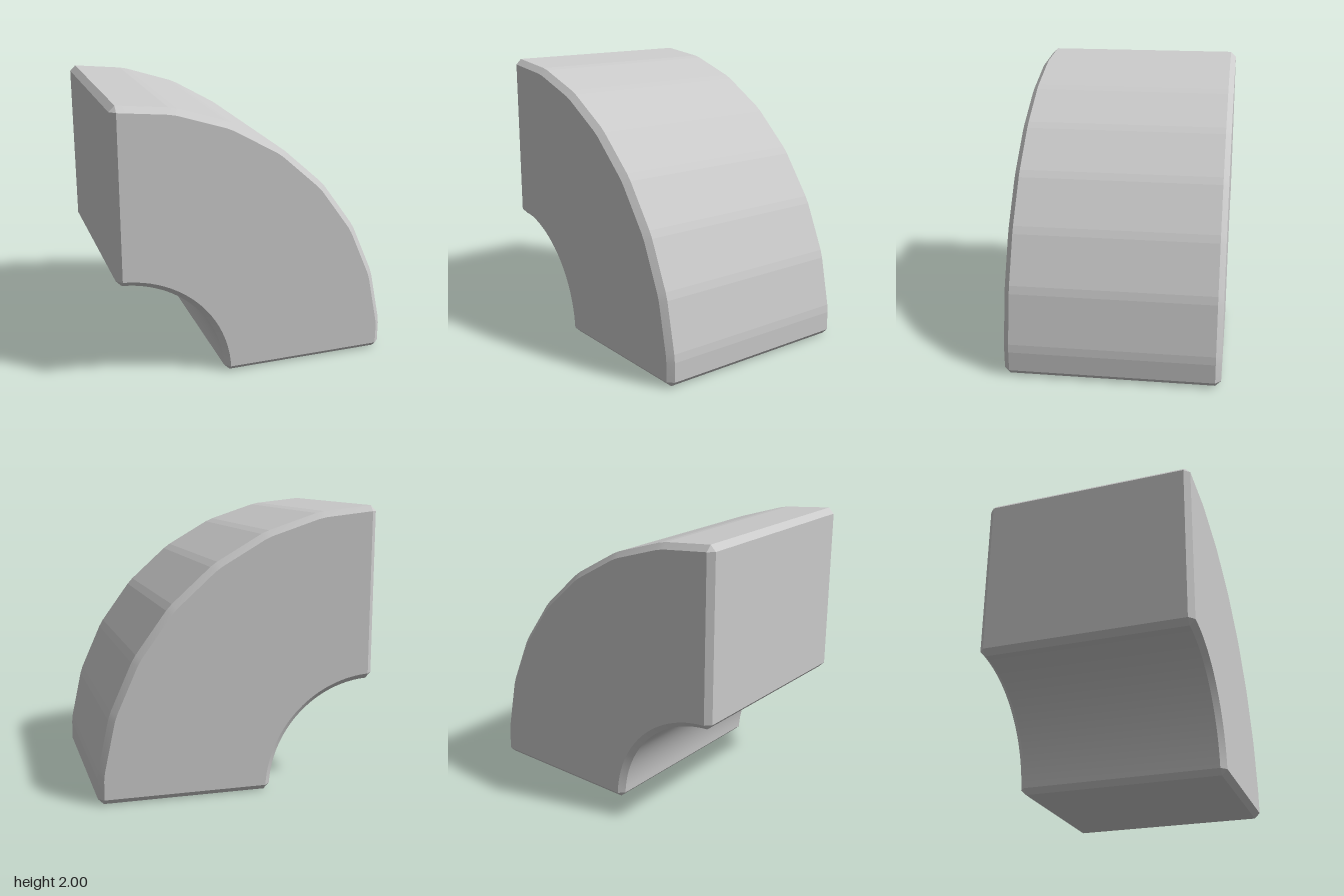
import * as THREE from 'three';
import { toCreasedNormals } from 'three/addons/utils/BufferGeometryUtils.js';

const BEVEL = 0.04, INNER = 0.766, OUTER = 2.004, HALF_DEPTH = 0.765;
const STEP = THREE.MathUtils.degToRad(12);
const polar = (r, a) => new THREE.Vector2(-1 + r * Math.cos(a), r * Math.sin(a));

// Counter-clockwise outline of the quarter arch. inset = 0 gives the full body,
// inset = BEVEL the flat face (its corner points coincide in pairs).
function outline(inset) {
  const pts = [];
  const add = (x, y) => pts.push(new THREE.Vector2(x, y));
  const inner = INNER + inset;
  const outer = OUTER - inset / Math.cos(STEP / 2);
  const right = -1 + OUTER * Math.cos(STEP / 2);

  // bottom end
  add(-1 + INNER + BEVEL, inset);
  add(right - BEVEL, inset);

  // faceted outer curve, each ridge slightly cut
  add(right - inset, BEVEL);
  for (let i = 0; i < 7; i++) {
    const a = STEP * (i + 0.5);
    const ridge = polar(outer, a);
    pts.push(ridge.clone().lerp(polar(outer, a - STEP), 0.07));
    pts.push(ridge.clone().lerp(polar(outer, a + STEP), 0.07));
  }
  add(-1 + BEVEL, OUTER - 0.004 - inset);

  // left end
  add(-1 + inset, OUTER - 0.004 - BEVEL);
  add(-1 + inset, INNER + BEVEL);

  // smooth inner curve
  const a0 = Math.acos(BEVEL / inner), a1 = Math.asin(BEVEL / inner), n = 24;
  for (let i = 0; i <= n; i++) pts.push(polar(inner, a0 + (a1 - a0) * i / n));
  return pts;
}

function archGeometry() {
  const body = outline(0), face = outline(BEVEL);
  const z = HALF_DEPTH, zb = HALF_DEPTH - BEVEL;
  const rings = [[face, -z], [body, -zb], [body, zb], [face, z]]
    .map(([pts, d]) => pts.map(p => new THREE.Vector3(p.x, p.y, d)));
  const pos = [];
  const tri = (a, b, c) => {
    const area = b.clone().sub(a).cross(c.clone().sub(a)).length();
    if (area > 1e-9) for (const v of [a, b, c]) pos.push(v.x, v.y, v.z);
  };

  // side walls and bevels between neighbouring rings
  for (let k = 0; k < 3; k++) {
    const lo = rings[k], hi = rings[k + 1];
    for (let i = 0; i < lo.length; i++) {
      const j = (i + 1) % lo.length;
      tri(lo[i], lo[j], hi[j]);
      tri(lo[i], hi[j], hi[i]);
    }
  }

  // flat front and back faces
  const loop = face.map((p, i) => i)
    .filter(i => face[i].distanceTo(face[(i + 1) % face.length]) > 1e-4);
  const caps = THREE.ShapeUtils.triangulateShape(loop.map(i => face[i]), []);
  for (const t of caps) {
    const [a, b, c] = t.map(i => loop[i]);
    tri(rings[3][a], rings[3][b], rings[3][c]);
    tri(rings[0][a], rings[0][c], rings[0][b]);
  }

  const geo = new THREE.BufferGeometry();
  geo.setAttribute('position', new THREE.Float32BufferAttribute(pos, 3));
  return toCreasedNormals(geo, THREE.MathUtils.degToRad(5));
}

export function createModel() {
  const group = new THREE.Group();
  group.name = 'quarterArchBlock';
  const arch = new THREE.Mesh(archGeometry(), new THREE.MeshStandardMaterial({ color: 0xcccccc }));
  arch.name = 'bevelledArch';
  group.add(arch);
  return group;
}
